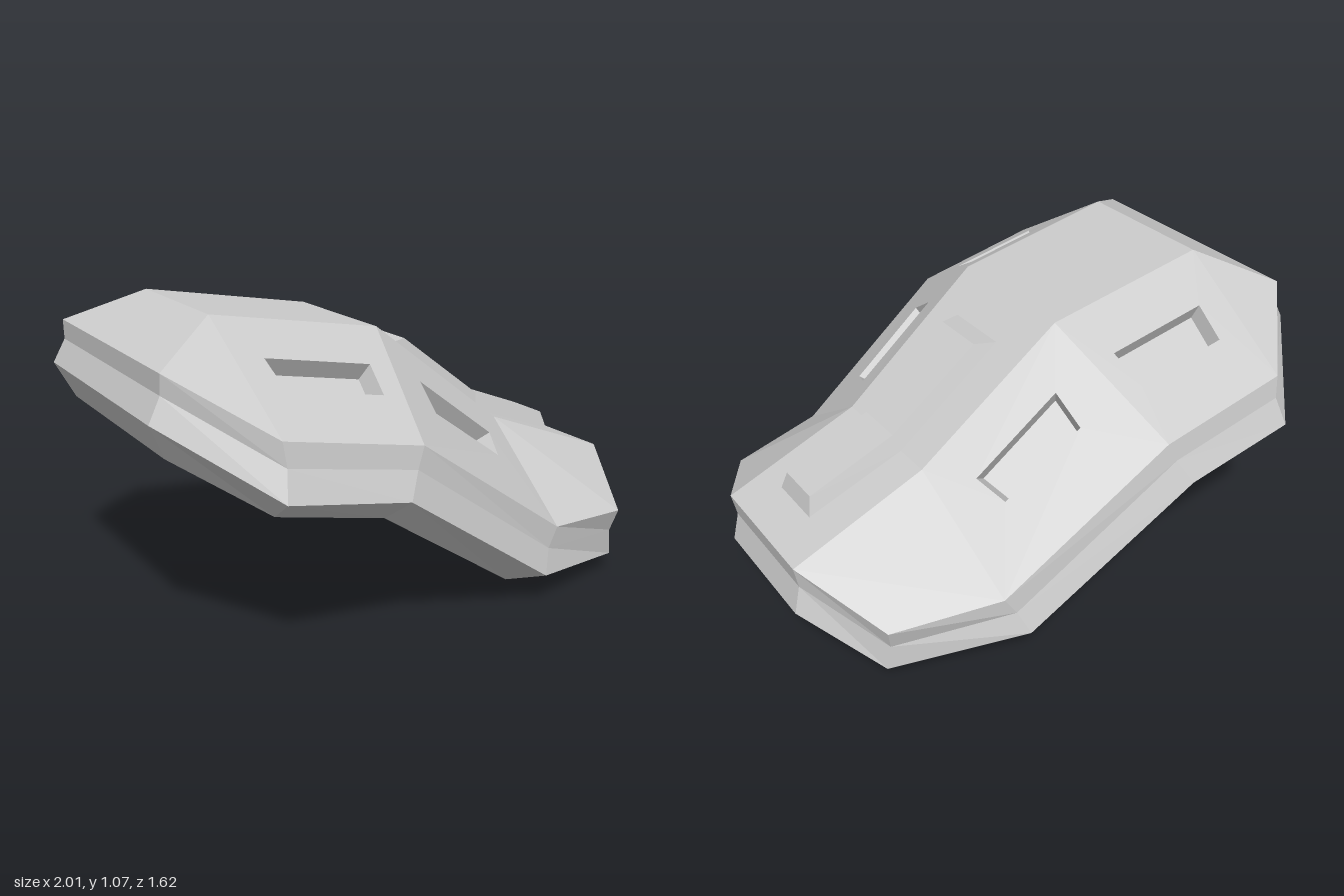
import * as THREE from 'three';

const material = new THREE.MeshStandardMaterial({ color: 0xcccccc, flatShading: true });
const V = (x, y, z) => new THREE.Vector3(x, y, z);
const points = (list) => list.map((p) => V(...p));
// Mirror to the other side; the nose corners are set slightly off centre
function flip(p) {
  const q = V(p.x, p.y, -p.z);
  return p.x > 0.6 && p.z > 0.3 ? q.add(V(0.012, -0.022, 0.06)) : q;
}
const mirrored = (face) => face.map(flip).reverse();
const both = (faces) => faces.concat(faces.map(mirrored));

// Flat-shaded mesh from convex polygons, each split into a fan
function facetMesh(name, faces) {
  const tris = [];
  for (const f of faces) {
    for (let i = 1; i < f.length - 1; i++) tris.push(f[0], f[i], f[i + 1]);
  }
  const geometry = new THREE.BufferGeometry().setFromPoints(tris);
  geometry.computeVertexNormals();
  const mesh = new THREE.Mesh(geometry, material);
  mesh.name = name;
  return mesh;
}

// Closed wall between two half outlines (back to front), both sides and ends
function band(upper, lower) {
  const half = [];
  for (let i = 0; i < upper.length - 1; i++) {
    half.push([upper[i], lower[i], lower[i + 1], upper[i + 1]]);
  }
  const a = upper[0], b = lower[0], c = upper.at(-1), d = lower.at(-1);
  return [...both(half), [flip(a), flip(b), b, a], [c, d, flip(d), flip(c)]];
}

// Strip across the middle between successive mirrored pairs
function strip(line) {
  return line.slice(1).map((p, i) => [flip(line[i]), line[i], p, flip(p)]);
}

// Bent plate surface: side panels plus the middle strip
function plate(edge, ridge) {
  return {
    back: [edge[0], edge[1], ridge[0]],
    rear: [ridge[0], edge[1], edge[2], ridge[1]],
    middle: [ridge[1], edge[2], edge[3], ridge[2]],
    front: [ridge[2], edge[3], edge[4], edge[5]],
    centre: strip([edge[0], ...ridge, edge[5]]),
  };
}

// Cut a sunken pocket into a four-cornered panel; hole corners are (along, across)
function pocket(panel, hole, depth) {
  const [a, b, c, d] = panel;
  const rim = hole.map(([u, v]) => a.clone().lerp(d, u).lerp(b.clone().lerp(c, u), v));
  const normal = rim[2].clone().sub(rim[0]).cross(rim[3].clone().sub(rim[1])).normalize();
  const centre = rim[0].clone().add(rim[2]).multiplyScalar(0.5);
  const floor = rim.map((p) => p.clone().lerp(centre, 0.08).addScaledVector(normal, -depth));
  const ring = (outer, inner) => outer.map((p, i) => {
    const j = (i + 1) % 4;
    return [p, outer[j], inner[j], inner[i]];
  });
  return { frame: ring(panel, rim), recess: [...ring(rim, floor), floor] };
}

export function createModel() {
  const model = new THREE.Group();
  model.name = 'armourPlate';
  const body = new THREE.Group();
  body.name = 'plateBody';
  model.add(body);

  // Half outlines from back to front at each level of the rim
  const topEdge = points([[-0.955, 0.94, 0.47], [-0.69, 0.77, 0.75], [-0.19, 0.69, 0.75],
    [0.44, 0.285, 0.68], [0.8, 0.262, 0.605], [0.985, 0.4, 0.245]]);
  const wallFoot = points([[-0.995, 0.785, 0.472], [-0.7, 0.59, 0.805], [-0.265, 0.53, 0.805],
    [0.365, 0.13, 0.725], [0.8, 0.08, 0.575], [1, 0.21, 0.245]]);
  const underEdge = points([[-0.93, 0.66, 0.43], [-0.69, 0.52, 0.7], [-0.3, 0.45, 0.7],
    [0.27, 0.095, 0.62], [0.67, 0.02, 0.48], [0.86, 0.13, 0.215]]);
  const crease = topEdge.map((p, i) => p.clone().lerp(wallFoot[i], 0.45).multiply(V(0.98, 1, 0.985)));

  // Ridge lines where the side panels fold down
  const topRidge = points([[-0.71, 1.065, 0.272], [-0.08, 0.975, 0.267], [0.47, 0.578, 0.243]]);
  const underRidge = points([[-0.91, 0.715, 0.25], [-0.26, 0.735, 0.26], [0.32, 0.25, 0.265]]);

  // Top shell with two pockets on each side
  const top = plate(topEdge, topRidge);
  const rear = pocket(top.rear, [[0.185, 0.35], [0.21, 0.61], [0.855, 0.61], [0.85, 0.35]], 0.065);
  const middle = pocket(top.middle, [[0.23, 0.3], [0.25, 0.56], [0.745, 0.55], [0.795, 0.31]], 0.065);
  body.add(facetMesh('topShell', [
    ...both([top.back, top.front, ...rear.frame, ...middle.frame]), ...top.centre]));
  body.add(facetMesh('rearPockets', both(rear.recess)));
  body.add(facetMesh('middlePockets', both(middle.recess)));

  // Grooved rim and lower chamfer
  body.add(facetMesh('rimGroove', band(topEdge, crease)));
  body.add(facetMesh('rimWall', band(crease, wallFoot)));
  body.add(facetMesh('lowerChamfer', band(wallFoot, underEdge)));

  // Hollowed underside
  const under = plate(underEdge, underRidge);
  const underFaces = [
    ...both([under.back, under.rear, under.middle, under.front]), ...under.centre];
  body.add(facetMesh('underside', underFaces.map((f) => [...f].reverse())));

  // Raised rib bent along the middle
  const ribBase = points([[0.06, 0.876, 0.123], [0.47, 0.578, 0.115], [0.84, 0.452, 0.105]]);
  const ribTop = points([[0.14, 0.885, 0.1], [0.485, 0.638, 0.092], [0.82, 0.52, 0.085]]);
  const rib = facetMesh('centreRib', [...band(ribTop, ribBase), ...strip(ribTop)]);
  rib.position.z = 0.01;
  body.add(rib);

  // Slight tilt, then centre on the ground
  body.rotation.set(0.042, 0.016, 0);
  model.updateMatrixWorld(true);
  const box = new THREE.Box3().setFromObject(model, true);
  const mid = box.getCenter(V(0, 0, 0));
  body.position.set(-mid.x, -box.min.y, -mid.z);
  return model;
}
